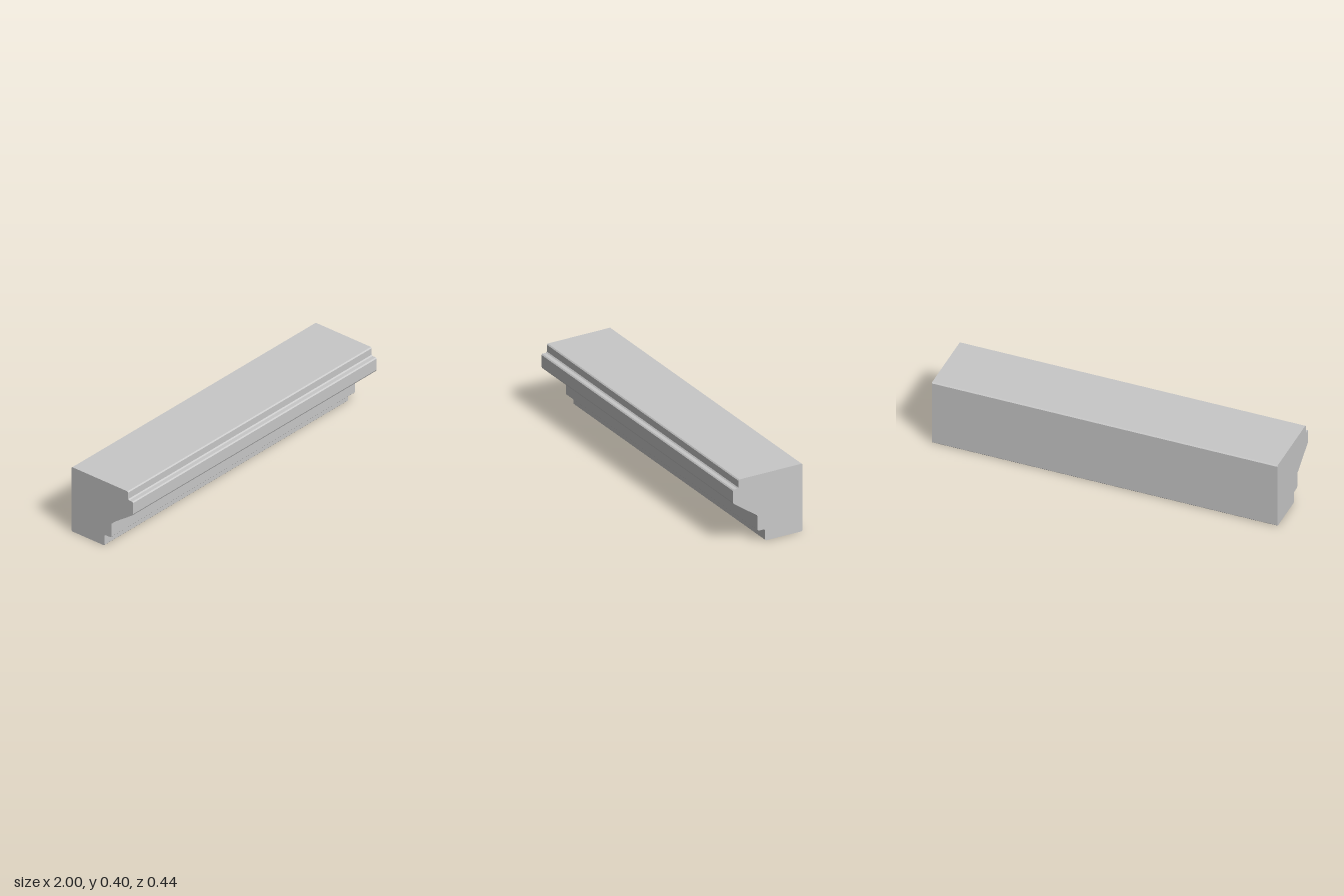
import * as THREE from 'three';

export function createModel() {
  const group = new THREE.Group();
  group.name = 'corniceBlock';

  const stone = new THREE.MeshStandardMaterial({ color: 0xc8c8c8 });
  stone.name = 'greyStone';

  // Moulding section as [depth, height] corners, counter-clockwise
  const corners = [
    [-0.217, 0], [0.018, 0], [0.018, 0.068], [0.065, 0.068], [0.065, 0.16],
    [0.218, 0.267], [0.218, 0.348], [0.184, 0.348], [0.184, 0.4], [-0.217, 0.4],
  ].map(([z, y]) => new THREE.Vector2(z, y));

  // Cut every corner with a small bevel
  const bevel = 0.006;
  const outline = corners.flatMap((p, i) => {
    const n = corners.length;
    return [corners[(i + n - 1) % n], corners[(i + 1) % n]].map((q) =>
      p.clone().add(q.clone().sub(p).setLength(bevel)));
  });

  // Run the section along x
  const geometry = new THREE.ExtrudeGeometry(new THREE.Shape(outline), {
    depth: 2, bevelEnabled: false, steps: 1,
  });
  geometry.translate(0, 0, -1);
  geometry.rotateY(-Math.PI / 2);

  const moulding = new THREE.Mesh(geometry, stone);
  moulding.name = 'steppedMoulding';
  group.add(moulding);
  return group;
}
